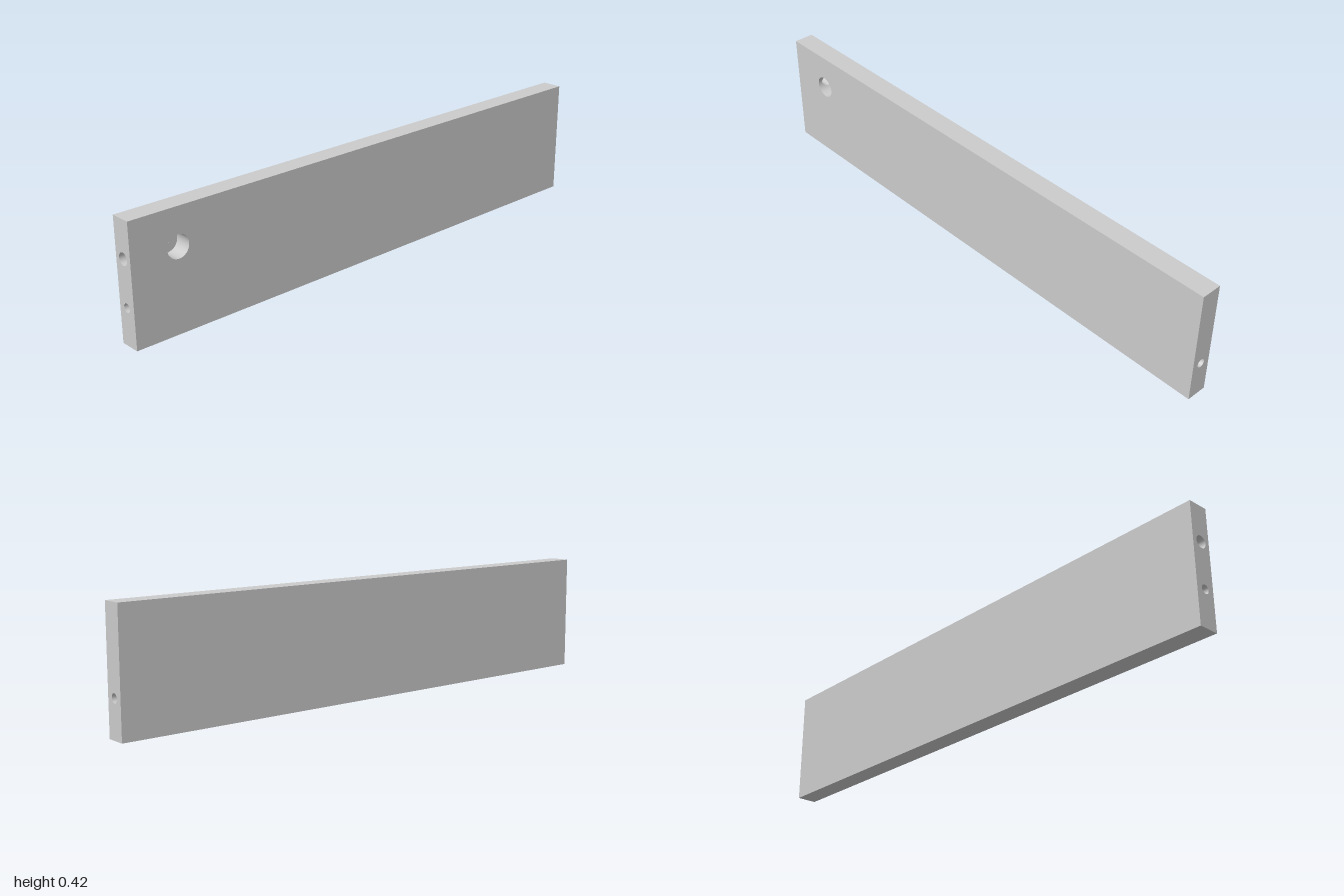
import * as THREE from 'three';
import { mergeGeometries } from 'three/addons/utils/BufferGeometryUtils.js';

const W = 0.074, H = 0.421, L = 2;                        // thickness, height, length
const DOWEL = { y: 0.131, r: 0.0155, depth: 0.13 };       // blind hole in both ends
const BOLT = { y: 0.291, r: 0.021 };                      // front hole that meets the pocket
const POCKET = { y: 0.291, z: 0.83, r: 0.04, depth: 0.062 }; // round pocket in the left face
const SEG = 48;

const solid = new THREE.MeshStandardMaterial({ color: 0xcccccc });
const open = new THREE.MeshStandardMaterial({ color: 0xcccccc, side: THREE.DoubleSide });

function mesh(name, geometry, material = solid) {
  const m = new THREE.Mesh(geometry, material);
  m.name = name;
  return m;
}

// Flat rectangle facing +z, centred on the origin, with round holes [x, y, r]
function face(w, h, holes = []) {
  const s = new THREE.Shape([[-1, -1], [1, -1], [1, 1], [-1, 1]]
    .map(([x, y]) => new THREE.Vector2(x * w / 2, y * h / 2)));
  for (const [x, y, r] of holes) s.holes.push(new THREE.Path().absarc(x, y, r, 0, Math.PI * 2, true));
  return new THREE.ShapeGeometry(s, SEG);
}

// Outer skin of the board
function boardSkin() {
  const m = H / 2, dowel = [0, DOWEL.y - m, DOWEL.r];
  return mergeGeometries([
    face(W, H, [dowel, [0, BOLT.y - m, BOLT.r]]).translate(0, m, L / 2),
    face(W, H, [dowel]).rotateY(Math.PI).translate(0, m, -L / 2),
    face(L, H, [[-POCKET.z, POCKET.y - m, POCKET.r]]).rotateY(Math.PI / 2).translate(W / 2, m, 0),
    face(L, H).rotateY(-Math.PI / 2).translate(-W / 2, m, 0),
    face(W, L).rotateX(-Math.PI / 2).translate(0, H, 0),
    face(W, L).rotateX(Math.PI / 2),
  ]);
}

// Blind dowel hole: open wall and floor, mouth at the front end
function dowelHole(name) {
  const g = new THREE.Group();
  g.name = name;
  const { y, r, depth } = DOWEL;
  g.add(
    mesh('dowelHoleWall', new THREE.CylinderGeometry(r, r, depth, SEG, 1, true)
      .rotateX(Math.PI / 2).translate(0, y, L / 2 - depth / 2), open),
    mesh('dowelHoleFloor', new THREE.CircleGeometry(r, SEG).translate(0, y, L / 2 - depth)));
  return g;
}

// Bolt bore: its inner rim follows the curve of the pocket wall
function boltBore() {
  const geo = new THREE.CylinderGeometry(BOLT.r, BOLT.r, 1, SEG, 1, true).rotateX(Math.PI / 2);
  const p = geo.attributes.position;
  for (let i = 0; i < p.count; i++) {
    const y = p.getY(i);
    p.setZ(i, p.getZ(i) > 0 ? L / 2 : POCKET.z + Math.sqrt(POCKET.r ** 2 - y * y));
  }
  return geo.translate(0, BOLT.y, 0);
}

// Pocket wall: two bands around the x axis that part where the bore enters
function pocketWall() {
  const R = POCKET.r, r = BOLT.r, edge = Math.asin(r / R), half = SEG / 2;
  const columns = [];
  for (let i = 0; i <= half; i++) {
    const t = Math.PI * (i / half - 0.5);
    columns.push([Math.asin(r / R * Math.sin(t)), r * Math.cos(t)]);
  }
  for (let i = 1; i <= SEG; i++) columns.push([edge + (Math.PI * 2 - 2 * edge) * i / SEG, 0]);

  const pos = [], nor = [], index = [];
  columns.forEach(([a, gap], i) => {
    for (const x of [W / 2 - POCKET.depth, -gap, gap, W / 2]) {
      pos.push(x, POCKET.y + R * Math.sin(a), POCKET.z + R * Math.cos(a));
      nor.push(0, -Math.sin(a), -Math.cos(a));
    }
    if (i === 0) return;
    for (const k of [0, 2]) {
      const b = i * 4 + k, c = b - 4;
      index.push(c, b, c + 1, b, b + 1, c + 1);
    }
  });
  // Turn the triangles to agree with the inward normals
  for (let i = 0; i < index.length; i += 3) {
    const [A, B, C] = [0, 1, 2].map(j => new THREE.Vector3().fromArray(pos, index[i + j] * 3));
    const n = B.sub(A).cross(C.sub(A));
    if (n.dot(new THREE.Vector3().fromArray(nor, index[i] * 3)) < 0)
      [index[i + 1], index[i + 2]] = [index[i + 2], index[i + 1]];
  }
  const geo = new THREE.BufferGeometry();
  geo.setAttribute('position', new THREE.Float32BufferAttribute(pos, 3));
  geo.setAttribute('normal', new THREE.Float32BufferAttribute(nor, 3));
  geo.setIndex(index);
  return geo;
}

export function createModel() {
  const model = new THREE.Group();
  model.name = 'drilledBoard';
  const backHole = dowelHole('backDowelHole');
  backHole.rotation.y = Math.PI;
  model.add(
    mesh('board', boardSkin()),
    dowelHole('frontDowelHole'),
    backHole,
    mesh('boltBore', boltBore(), open),
    mesh('pocketWall', pocketWall(), open),
    mesh('pocketFloor', new THREE.CircleGeometry(POCKET.r, SEG * 2).rotateY(Math.PI / 2)
      .translate(W / 2 - POCKET.depth, POCKET.y, POCKET.z)));
  return model;
}
